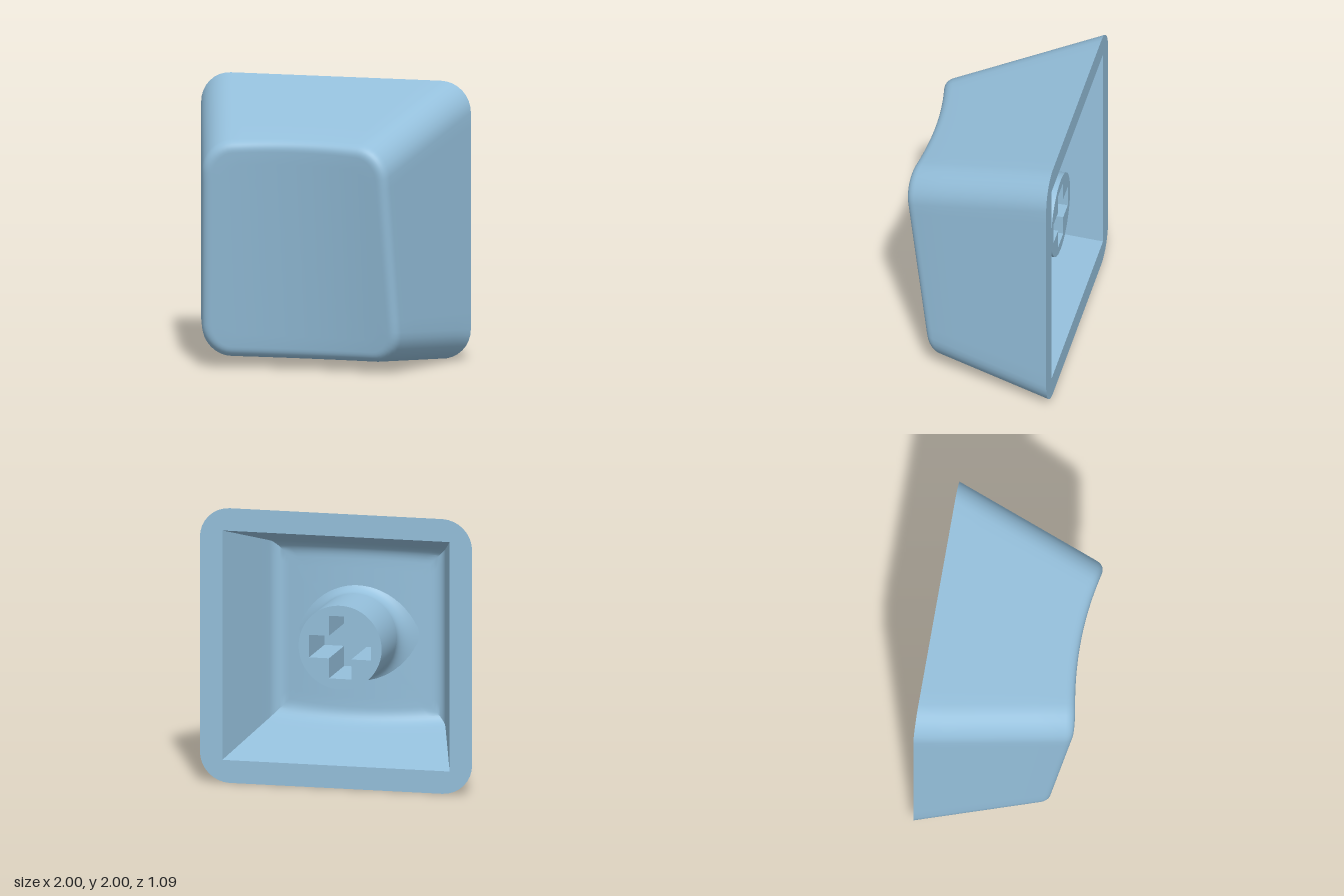
import * as THREE from 'three';
import { toCreasedNormals } from 'three/addons/utils/BufferGeometryUtils.js';

const BACK = -0.55;
const material = new THREE.MeshStandardMaterial({ color: 0x94bfdb });

// Counter-clockwise rounded rectangle (seen from +z), evenly divided edges
function outline(hw, y0, y1, r, cornerSteps, edgeSteps = 14) {
  const pts = [];
  const corners = [[hw - r, y1 - r], [r - hw, y1 - r], [r - hw, y0 + r], [hw - r, y0 + r]];
  corners.forEach(([cx, cy], k) => {
    const at = (x, y, a) => new THREE.Vector2(x + r * Math.cos(a), y + r * Math.sin(a));
    for (let i = 0; i <= cornerSteps; i++) {
      pts.push(at(cx, cy, (k + (cornerSteps ? i / cornerSteps : 0)) * Math.PI / 2));
    }
    const end = at(cx, cy, (k + 1) * Math.PI / 2);
    const [nx, ny] = corners[(k + 1) % 4];
    const next = at(nx, ny, (k + 1) * Math.PI / 2);
    for (let i = 1; i < edgeSteps; i++) pts.push(end.clone().lerp(next, i / edgeSteps));
  });
  return pts;
}

// Skin closed rings of equal length; flip turns the faces inward
function loft(rings, flip) {
  const n = rings[0].length, index = [];
  for (let i = 0; i < rings.length - 1; i++) {
    for (let j = 0; j < n; j++) {
      const a = i * n + j, b = i * n + (j + 1) % n, c = b + n, d = a + n;
      index.push(...(flip ? [a, c, b, a, d, c] : [a, b, c, a, c, d]));
    }
  }
  const geo = new THREE.BufferGeometry().setFromPoints(rings.flat());
  geo.setIndex(index);
  return toCreasedNormals(geo, 0.6);
}

// Tapered walls, a rounded edge, then an end face following z = face(x, y)
function taperedShell(section, face, fillet, centerY, flip) {
  const n = section(BACK, 0).length;
  const back = section(BACK, 0).map(p => new THREE.Vector3(p.x, p.y, BACK));
  const columns = [];
  for (let j = 0; j < n; j++) {
    let z = 0.3;
    for (let k = 0; k < 25; k++) {
      const p = section(z, 0)[j];
      z = face(p.x, p.y);
    }
    const point = (h, inset) => {
      const p = section(h, inset)[j];
      return new THREE.Vector3(p.x, p.y, h);
    };
    const start = point(z - fillet, 0), edge = point(z, 0), end = point(z, fillet);
    end.z = face(end.x, end.y);
    const column = [back[j]];
    for (let k = 1; k < 5; k++) column.push(back[j].clone().lerp(start, k / 5));
    column.push(...new THREE.QuadraticBezierCurve3(start, edge, end).getPoints(8));
    for (let k = 7; k >= 0; k--) {
      const x = end.x * k / 8, y = centerY + (end.y - centerY) * k / 8;
      column.push(new THREE.Vector3(x, y, face(x, y)));
    }
    columns.push(column);
  }
  return loft(columns[0].map((_, i) => columns.map(c => c[i])), flip);
}

export function createModel() {
  const group = new THREE.Group();
  const add = (name, geometry) => {
    const mesh = new THREE.Mesh(geometry, material);
    mesh.name = name;
    group.add(mesh);
  };

  // Outer body with a sloping face, scooped across its width
  const outer = (z, d) => {
    const h = z - BACK;
    return outline(1 - 0.295 * h - d, 0.096 * h + d, 2 - 0.324 * h - d, 0.22 - d, 8);
  };
  const scoop = (x, y) => 0.485 + 0.143 * (y - 1.58) + 0.2 * x * x;
  add('outerShell', taperedShell(outer, scoop, 0.07, 0.87, false));

  // Hollow inside with square corners
  const inner = (z, d) => {
    const s = 0.835 - 0.3 * (z - BACK) - d;
    return outline(s, 1 - s, 1 + s, 0, 0);
  };
  add('innerCavity', taperedShell(inner, x => 0.1 + 0.2 * x * x, 0.1, 1, true));

  // Flat rim round the opening
  const rim = new THREE.Shape(outer(BACK, 0));
  rim.holes.push(new THREE.Path(inner(BACK, 0)));
  add('backRim', new THREE.ShapeGeometry(rim).rotateY(Math.PI).translate(0, 0, BACK));

  // Round stem with a cross-shaped socket
  const R = 0.305, L = 0.228, W = 0.082, stemBack = -0.43, stemDepth = 0.45;
  const disc = new THREE.Shape().absarc(0, 0, R, 0, Math.PI * 2);
  const cross = [];
  for (let k = 0; k < 4; k++) {
    for (const [x, y] of [[L, -W], [L, W], [W, W]]) {
      cross.push(new THREE.Vector2(x, y).rotateAround(new THREE.Vector2(), k * Math.PI / 2));
    }
  }
  disc.holes.push(new THREE.Path(cross));
  const stem = new THREE.ExtrudeGeometry(disc, { depth: stemDepth, bevelEnabled: false, curveSegments: 48 });
  add('stem', toCreasedNormals(stem.translate(0, 1, stemBack), 0.6));
  const stemFront = stemBack + stemDepth;
  add('socketBottom', new THREE.CircleGeometry(R, 48).rotateY(Math.PI).translate(0, 1, stemFront - 0.002));

  // Flared foot blending the stem into the cavity
  const profile = new THREE.QuadraticBezierCurve(
    new THREE.Vector2(R, 0), new THREE.Vector2(R, 0.09), new THREE.Vector2(R + 0.14, 0.12)
  ).getPoints(10);
  const foot = new THREE.LatheGeometry(profile.reverse(), 48).rotateX(Math.PI / 2).translate(0, 1, stemFront);
  const footMesh = new THREE.Mesh(foot, material.clone());
  footMesh.material.side = THREE.DoubleSide;
  footMesh.name = 'stemFoot';
  group.add(footMesh);

  return group;
}
